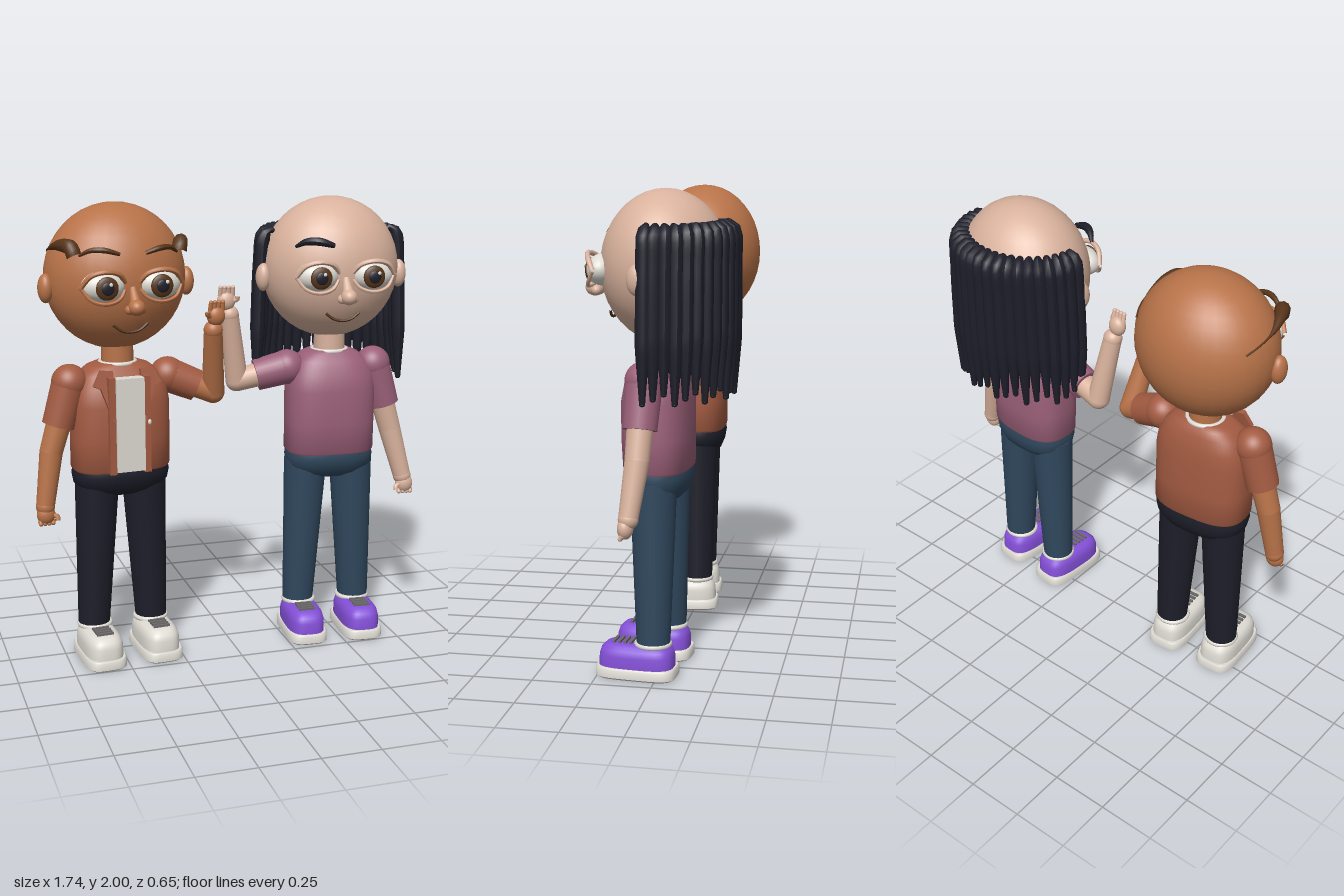
import * as THREE from 'three';
import { toCreasedNormals } from 'three/addons/utils/BufferGeometryUtils.js';

const V = (x, y, z) => new THREE.Vector3(x, y, z);
const paint = (name, color) => {
  const m = new THREE.MeshStandardMaterial({ color });
  m.name = name;
  return m;
};

function add(parent, name, geo, mat) {
  const m = new THREE.Mesh(geo, mat);
  m.name = name;
  parent.add(m);
  return m;
}

function ball(parent, name, p, r, mat) {
  const m = add(parent, name, new THREE.SphereGeometry(1, 32, 20), mat);
  m.position.set(...p);
  m.scale.set(...(Array.isArray(r) ? r : [r, r, r]));
  return m;
}

// Tapered cylinder between two points
function limb(parent, name, a, b, ra, rb, mat) {
  const d = b.clone().sub(a);
  const m = add(parent, name, new THREE.CylinderGeometry(rb, ra, d.length(), 24), mat);
  m.position.copy(a).addScaledVector(d, 0.5);
  m.quaternion.setFromUnitVectors(V(0, 1, 0), d.normalize());
  return m;
}

// Tube along points whose radius follows a function of its length
function taperTube(parent, name, pts, radius, mat, segs = 20, sides = 10) {
  const curve = new THREE.CatmullRomCurve3(pts);
  const geo = new THREE.TubeGeometry(curve, segs, 1, sides);
  const p = geo.attributes.position, v = V(0, 0, 0);
  for (let i = 0; i < p.count; i++) {
    const t = Math.floor(i / (sides + 1)) / segs, c = curve.getPointAt(t);
    v.fromBufferAttribute(p, i).sub(c).multiplyScalar(radius(t)).add(c);
    p.setXYZ(i, v.x, v.y, v.z);
  }
  geo.computeVertexNormals();
  return add(parent, name, geo, mat);
}

// Stack of rounded cross-sections [y, half width, half depth, z centre], capped at both ends
function loft(rings, power, n = 48) {
  const pos = [], idx = [];
  const round = (c) => Math.sign(c) * Math.abs(c) ** (2 / power);
  for (const [y, rx, rz, cz = 0] of rings)
    for (let i = 0; i < n; i++) {
      const a = (i / n) * Math.PI * 2;
      pos.push(rx * round(Math.cos(a)), y, cz + rz * round(Math.sin(a)));
    }
  const last = rings.length - 1, base = pos.length / 3;
  for (const r of [rings[0], rings[last]]) pos.push(0, r[0], r[3] || 0);
  for (let i = 0; i < n; i++) {
    const j = (i + 1) % n;
    for (let k = 0; k < last; k++) {
      const a = k * n + i, b = k * n + j;
      idx.push(a, a + n, b, b, a + n, b + n);
    }
    idx.push(base, i, j, base + 1, last * n + j, last * n + i);
  }
  const g = new THREE.BufferGeometry();
  g.setAttribute('position', new THREE.Float32BufferAttribute(pos, 3));
  g.setIndex(idx);
  return toCreasedNormals(g, 0.8);
}

function buildArm(fig, c, s, [shoulder, elbow, wrist, hand], raised) {
  const arm = new THREE.Group();
  arm.name = raised ? 'raisedArm' : 'loweredArm';
  fig.add(arm);
  const hem = shoulder.clone().lerp(elbow, 0.62);
  ball(arm, 'shoulder', shoulder.toArray(), 0.078, c.top);
  limb(arm, 'sleeve', shoulder, hem, 0.076, 0.07, c.top);
  limb(arm, 'upperArm', shoulder, elbow, 0.058, 0.05, c.skin);
  ball(arm, 'elbow', elbow.toArray(), 0.05, c.skin);
  limb(arm, 'forearm', elbow, wrist, 0.05, 0.04, c.skin);
  ball(arm, 'wrist', wrist.toArray(), 0.041, c.skin);
  ball(arm, 'palm', hand.toArray(), [0.04, 0.044, 0.032], c.skin);
  const up = raised ? 1 : -1;
  for (let i = 0; i < 4; i++) {
    const a = hand.clone().add(V((i - 1.5) * 0.018, up * 0.025, 0.005));
    const b = a.clone().add(V(0, up * (raised ? 0.035 : 0.012), 0.008));
    limb(arm, 'finger', a, b, 0.011, 0.009, c.skin);
    ball(arm, 'fingertip', b.toArray(), 0.0095, c.skin);
  }
  taperTube(arm, 'thumb', [hand.clone().add(V(-s * 0.025, 0, 0.01)),
    hand.clone().add(V(-s * 0.045, up * 0.01, 0.02)),
    hand.clone().add(V(-s * 0.045, up * 0.025, 0.025))], () => 0.011, c.skin, 8);
}

function buildPerson(c, armSide, raised, lowered, w) {
  const fig = new THREE.Group();
  // Head and face
  ball(fig, 'head', [0, 1.69, -0.015], [0.305, 0.31, 0.26], c.skin);
  limb(fig, 'neck', V(0, 1.27, 0), V(0, 1.45, 0), 0.07, 0.068, c.skin);
  const collar = add(fig, 'collar', new THREE.TorusGeometry(0.076, 0.01, 10, 36), c.white);
  collar.rotation.x = Math.PI / 2;
  collar.position.y = 1.32;
  for (const s of [-1, 1]) {
    ball(fig, 'ear', [s * 0.31, 1.655, 0.015], [0.033, 0.062, 0.042], c.skin);
    const x = s * 0.12;
    ball(fig, 'eyeWhite', [x, 1.68, 0.213], [0.093, 0.064, 0.062], c.white);
    ball(fig, 'iris', [x - s * 0.003, 1.678, 0.266], [0.048, 0.048, 0.015], c.brown);
    ball(fig, 'pupil', [x - s * 0.003, 1.678, 0.277], [0.027, 0.027, 0.008], c.navy);
    ball(fig, 'eyeGlint', [x + 0.015, 1.695, 0.282], [0.008, 0.008, 0.004], c.white);
    for (const e of [-1, 1])
      taperTube(fig, e > 0 ? 'upperLid' : 'lowerLid', [V(x - 0.097, 1.68, 0.225),
        V(x - 0.06, 1.68 + e * 0.05, 0.255), V(x, 1.68 + e * 0.066, 0.27),
        V(x + 0.06, 1.68 + e * 0.05, 0.255), V(x + 0.097, 1.68, 0.225)],
      () => (e > 0 ? 0.011 : 0.008), c.skin, 24, 8);
    if (c.brows.includes(s))
      taperTube(fig, 'eyebrow', [V(s * 0.055, 1.812, 0.245), V(s * 0.12, 1.83, 0.24),
        V(s * 0.17, 1.828, 0.215), V(s * 0.21, 1.805, 0.185)],
      (t) => 0.004 + c.browSize * Math.sin(Math.PI * (0.15 + 0.8 * t)), c.hair);
  }
  ball(fig, 'noseTip', [0, 1.597, 0.285], [0.035, 0.034, 0.04], c.skin);
  taperTube(fig, 'noseBridge', [V(0, 1.67, 0.235), V(0, 1.635, 0.257), V(0, 1.6, 0.28)],
    (t) => 0.016 + 0.012 * t, c.skin, 10);
  for (const s of [-1, 1]) ball(fig, 'nostril', [s * 0.026, 1.587, 0.272], 0.02, c.skin);
  taperTube(fig, 'mouth', [V(-0.075, 1.515, 0.197), V(-0.04, 1.49, 0.203), V(0, 1.482, 0.205),
    V(0.04, 1.49, 0.203), V(0.075, 1.515, 0.197)], () => 0.006, c.brown, 20, 8);

  // Torso and hips
  add(fig, 'torso', loft([[0.855, 0.195 * w, 0.125, 0.012], [0.87, 0.205 * w, 0.135, 0.012],
    [1.0, 0.205 * w, 0.14, 0.015], [1.15, 0.205 * w, 0.14, 0.015], [1.22, 0.195 * w, 0.13, 0.012],
    [1.28, 0.165 * w, 0.108, 0.005], [1.31, 0.13 * w, 0.088], [1.325, 0.09, 0.075]], 2.7), c.top);
  add(fig, 'hips', loft([[0.745, 0.12, 0.08], [0.765, 0.17, 0.105, 0.005], [0.8, 0.197 * w, 0.125, 0.01],
    [0.84, 0.204 * w, 0.134, 0.012], [0.865, 0.2 * w, 0.13, 0.012]], 2.5), c.pants);

  // Legs and shoes
  for (const s of [-1, 1]) {
    limb(fig, 'leg', V(s * 0.133, 0.15, 0.005), V(s * 0.106, 0.82, 0.01), 0.07, 0.097, c.pants);
    const shoe = new THREE.Group();
    shoe.name = 'shoe';
    shoe.position.set(s * 0.13, 0, 0.075);
    fig.add(shoe);
    add(shoe, 'sole', loft([[0, 0.084, 0.16], [0.008, 0.093, 0.17], [0.04, 0.093, 0.17],
      [0.048, 0.088, 0.165]], 4), c.white);
    add(shoe, 'shoeUpper', loft([[0.045, 0.084, 0.158], [0.095, 0.084, 0.156], [0.12, 0.078, 0.148],
      [0.135, 0.066, 0.132], [0.142, 0.05, 0.115]], 3.2), c.shoe);
    const cuff = add(shoe, 'ankleCuff', new THREE.TorusGeometry(0.068, 0.011, 8, 32), c.white);
    cuff.rotation.x = Math.PI / 2;
    cuff.position.set(0, 0.143, -0.068);
    for (let i = 0; i < 4; i++) {
      const lace = add(shoe, 'lace', new THREE.BoxGeometry(0.075, 0.01, 0.011), c.lace);
      lace.position.set(0, 0.147, 0.02 + i * 0.024);
    }
  }
  buildArm(fig, c, armSide, raised, true);
  buildArm(fig, c, -armSide, lowered, false);
  return fig;
}

// Jacket front with shirt panel, edge strips and lapels
function addJacketFront(fig, c) {
  const panel = add(fig, 'shirtPanel', new THREE.BoxGeometry(0.125, 0.405, 0.05), c.white);
  panel.position.set(0, 1.078, 0.158);
  for (const s of [-1, 1]) {
    const strip = add(fig, 'jacketEdge', new THREE.BoxGeometry(0.028, 0.42, 0.045), c.top);
    strip.position.set(s * 0.077, 1.075, 0.152);
    const shape = new THREE.Shape([[0.06, 1.31], [0.115, 1.315], [0.15, 1.25], [0.118, 1.235], [0.068, 1.08]]
      .map(([x, y]) => new THREE.Vector2(s * x, y)));
    const lapel = add(fig, 'lapel', new THREE.ExtrudeGeometry(shape, { depth: 0.02, bevelEnabled: false }), c.top);
    lapel.position.set(0, 1.08, 0.16);
    lapel.geometry.translate(0, -1.08, 0);
    lapel.rotation.x = -0.2;
  }
  ball(fig, 'button', [0.085, 1.085, 0.176], [0.008, 0.012, 0.006], c.white);
}

export function createModel() {
  const model = new THREE.Group();
  const white = paint('offWhite', 0xdedbd3), navy = paint('darkNavy', 0x1e1e2a);
  const brown = paint('darkBrown', 0x56341a), lace = paint('laceGrey', 0x6c6a6a);
  const shared = { white, navy, brown, lace };

  // Man
  const m = { ...shared, skin: paint('tanSkin', 0xb87349), top: paint('rustJacket', 0xa35b42),
    pants: navy, shoe: white, hair: brown, brows: [-1, 1], browSize: 0.008 };
  const man = buildPerson(m, 1,
    [V(0.22, 1.25, 0.02), V(0.415, 1.165, 0.065), V(0.378, 1.46, 0.165), V(0.385, 1.522, 0.18)],
    [V(-0.22, 1.25, 0.02), V(-0.31, 0.955, 0.025), V(-0.347, 0.72, 0.042), V(-0.347, 0.685, 0.05)], 1.05);
  man.name = 'man';
  addJacketFront(man, m);
  for (const s of [-1, 1])
    taperTube(man, 'sideHair', [V(s * 0.225, 1.8, 0.17), V(s * 0.235, 1.835, 0.155), V(s * 0.262, 1.84, 0.09),
      V(s * 0.28, 1.82, 0), V(s * 0.272, 1.8, -0.09), V(s * 0.25, 1.78, -0.15)],
    (t) => 0.004 + 0.03 * Math.sin(Math.PI * Math.min(1, 0.2 + 1.2 * t) ** 0.6) * (1 - 0.5 * t), brown, 30);
  man.position.x = -0.488;
  man.rotation.y = 0.08;

  // Woman
  const f = { ...shared, skin: paint('lightSkin', 0xd9b29d), top: paint('mauveShirt', 0x9b6078),
    pants: paint('blueJeans', 0x30485e), shoe: paint('purpleShoe', 0x8450d8), hair: navy,
    brows: [-1], browSize: 0.014 };
  const woman = buildPerson(f, -1,
    [V(-0.2, 1.25, 0.02), V(-0.425, 1.195, 0), V(-0.468, 1.5, 0.045), V(-0.485, 1.562, 0.055)],
    [V(0.2, 1.25, 0.02), V(0.287, 0.945, 0.025), V(0.347, 0.72, 0.045), V(0.355, 0.685, 0.055)], 0.98);
  woman.name = 'woman';
  // Hanging locks around the sides and back
  const locks = 22;
  for (let i = 0; i < locks; i++) {
    const a = (i / (locks - 1)) * Math.PI, cx = Math.cos(a), cz = -Math.sin(a);
    const at = (rx, rz, y) => V(cx * rx, y, cz * rz - 0.01);
    const tip = 1.175 + 0.02 * (i % 3);
    taperTube(woman, 'hairLock', [at(0.245, 0.2, 1.845), at(0.275, 0.25, 1.858), at(0.3, 0.278, 1.835),
      at(0.315, 0.283, 1.7), at(0.325, 0.283, 1.45), at(0.332, 0.28, tip)],
    (t) => (t < 0.1 ? 0.006 + 0.24 * t : t < 0.7 ? 0.03 : 0.03 - 0.06 * (t - 0.7)), navy, 26);
    ball(woman, 'lockTip', at(0.332, 0.28, tip).toArray(), [0.012, 0.008, 0.012], navy);
  }
  woman.position.x = 0.483;
  woman.rotation.y = -0.08;

  model.add(man, woman);
  return model;
}
